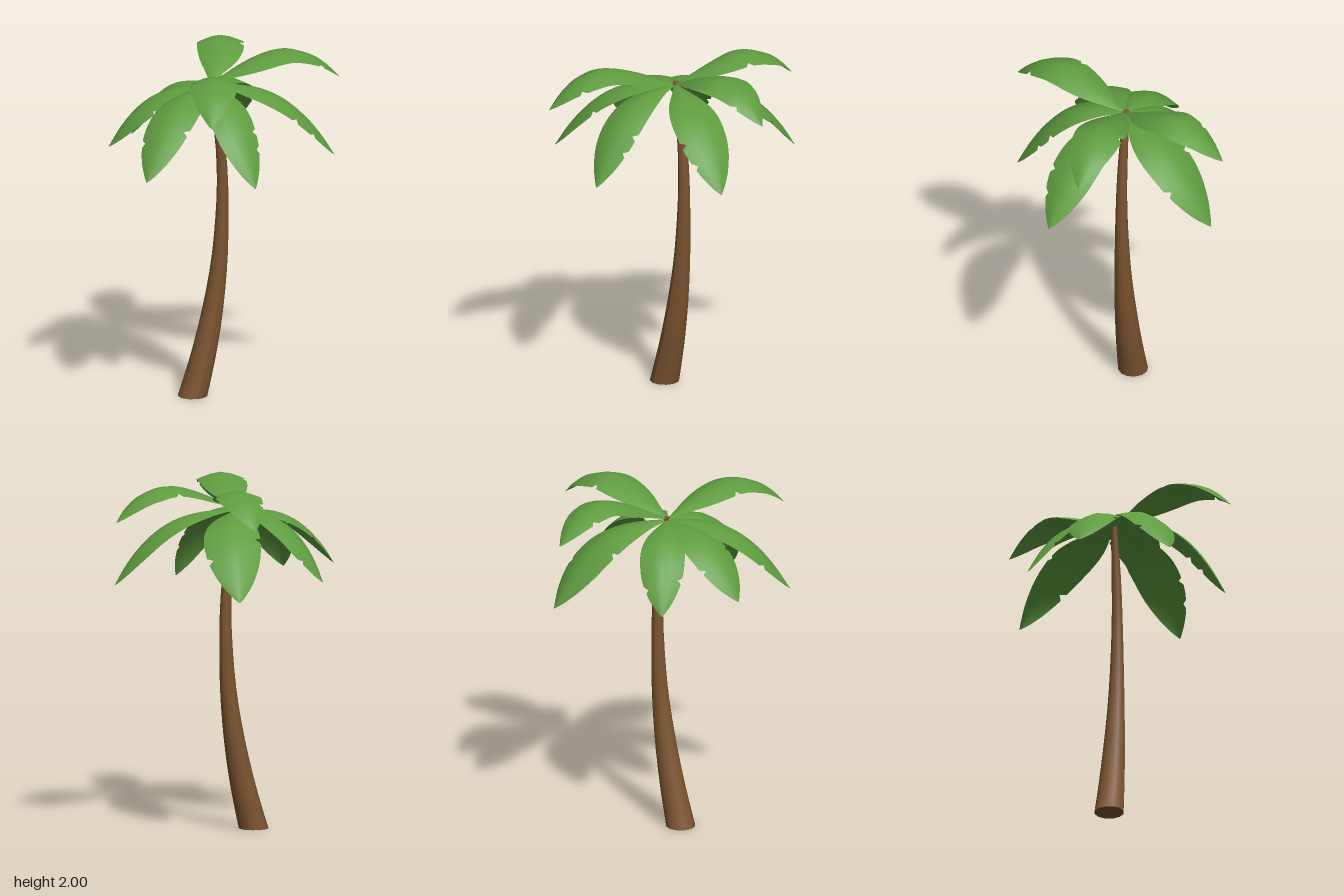
import * as THREE from 'three';

const bark = new THREE.MeshStandardMaterial({ color: 0x7c5430 });
bark.name = 'bark brown';
const green = new THREE.MeshStandardMaterial({ color: 0x5f9c40, side: THREE.DoubleSide });
green.name = 'leaf green';

const CROWN = new THREE.Vector3(-0.09, 0, -0.03);

// Smooth lookup through [position, value] pairs
function profile(pairs) {
  return (t) => {
    let i = 0;
    while (i < pairs.length - 2 && t > pairs[i + 1][0]) i++;
    const slope = (k) => {
      const a = pairs[Math.max(k - 1, 0)], b = pairs[Math.min(k + 1, pairs.length - 1)];
      return (b[1] - a[1]) / (b[0] - a[0]);
    };
    const [x0, y0] = pairs[i], [x1, y1] = pairs[i + 1];
    const h = x1 - x0, u = (t - x0) / h, u2 = u * u, u3 = u2 * u;
    return (2 * u3 - 3 * u2 + 1) * y0 + (u3 - 2 * u2 + u) * h * slope(i)
      + (3 * u2 - 2 * u3) * y1 + (u3 - u2) * h * slope(i + 1);
  };
}

const trunkX = profile([[0, -0.195], [0.2, -0.14], [0.4, -0.095], [0.6, -0.06], [0.8, -0.035],
  [1, -0.022], [1.2, -0.017], [1.4, -0.024], [1.6, -0.047], [1.85, -0.09]]);
const trunkRadius = profile([[0, 0.085], [0.4, 0.066], [0.8, 0.047], [1.2, 0.034], [1.6, 0.026], [1.85, 0.017]]);
const leafWidth = profile([[0, 0.01], [0.1, 0.05], [0.25, 0.11], [0.4, 0.14], [0.55, 0.143],
  [0.7, 0.127], [0.85, 0.083], [0.95, 0.035], [1, 0.002]]);
const archHeight = profile([[0, 1.845], [0.3, 1.95], [0.55, 1.999], [0.75, 1.965], [0.88, 1.902], [1, 1.81]]);

// Tapered trunk that leans and bends back under the crown
function makeTrunk() {
  const height = 1.85;
  const geo = new THREE.CylinderGeometry(1, 1, height, 12, 18).translate(0, height / 2, 0);
  const p = geo.attributes.position;
  for (let i = 0; i < p.count; i++) {
    const y = p.getY(i), r = trunkRadius(y);
    p.setXYZ(i, trunkX(y) + p.getX(i) * r, y, -0.037 + p.getZ(i) * r);
  }
  geo.computeVertexNormals();
  const mesh = new THREE.Mesh(geo, bark);
  mesh.name = 'trunk';
  return mesh;
}

// One curved leaf: sagging cross-sections swept along an arched midrib, with torn notches
function makeLeaf({ tip, bend, width, raised, notches }) {
  const end = new THREE.Vector3(...tip);
  const dir = new THREE.Vector3(end.x - CROWN.x, 0, end.z - CROWN.z);
  const reach = dir.length();
  dir.normalize();
  const points = [];
  for (let i = 0; i <= 10; i++) {
    const u = i / 10, d = 0.012 + (reach - 0.012) * u, off = bend * Math.sin(Math.PI * u);
    const y = raised ? archHeight(u) + (tip[1] - 1.81) * u : 1.835 - (1.835 - tip[1]) * Math.pow(u, 2.9);
    points.push(new THREE.Vector3(CROWN.x + dir.x * d - dir.z * off, y, CROWN.z + dir.z * d + dir.x * off));
  }
  const midrib = new THREE.CatmullRomCurve3(points);

  const rows = 36, columns = [-1, -0.8, -0.4, 0, 0.4, 0.8, 1], n = columns.length;
  const pos = [], index = [];
  for (let i = 0; i <= rows; i++) {
    const t = i / rows, w = leafWidth(t) * width;
    const c = midrib.getPointAt(t), T = midrib.getTangentAt(t);
    const S = new THREE.Vector3(-T.z, 0, T.x).normalize();
    const N = S.clone().cross(T);
    columns.forEach((s, j) => {
      const torn = Math.abs(s) === 1 && notches.includes(i * s);
      const k = torn ? s * 0.8 : s;
      const sag = 0.3 * w * Math.pow(Math.abs(k), 1.6);
      const v = c.clone().addScaledVector(S, k * w).addScaledVector(N, -sag);
      pos.push(v.x, v.y, v.z);
      if (i < rows && j < n - 1) {
        const a = i * n + j;
        index.push(a, a + 1, a + n, a + 1, a + n + 1, a + n);
      }
    });
  }
  const geo = new THREE.BufferGeometry();
  geo.setAttribute('position', new THREE.Float32BufferAttribute(pos, 3));
  geo.setIndex(index);
  geo.computeVertexNormals();
  return new THREE.Mesh(geo, green);
}

// Notches are row numbers; the sign picks the edge
const LEAVES = [
  // raised leaves
  { tip: [0.68, 1.81, -0.05], bend: 0, width: 1, raised: true, notches: [-19, 29] },
  { tip: [0.12, 1.81, -0.71], bend: 0.055, width: 0.93, raised: true, notches: [18, -26] },
  { tip: [-0.31, 1.79, 0.71], bend: -0.015, width: 0.95, raised: true, notches: [17, -27] },
  // drooping leaves
  { tip: [0.585, 1.415, 0.17], bend: 0.015, width: 1.02, raised: false, notches: [22, 28] },
  { tip: [0.2, 1.4, -0.67], bend: 0.035, width: 1.12, raised: false, notches: [24, -17] },
  { tip: [-0.43, 1.45, -0.455], bend: 0.01, width: 0.88, raised: false, notches: [-25, 28] },
  { tip: [-0.68, 1.5, -0.08], bend: 0, width: 0.97, raised: false, notches: [24, -19] },
  { tip: [-0.61, 1.42, 0.43], bend: 0.01, width: 0.97, raised: false, notches: [-21, 26] },
  { tip: [-0.015, 1.38, 0.6], bend: 0.03, width: 0.9, raised: false, notches: [-21, -26] },
];

export function createModel() {
  const model = new THREE.Group();
  model.name = 'palmTree';
  model.add(makeTrunk());
  const crown = new THREE.Group();
  crown.name = 'crown';
  LEAVES.forEach((spec, i) => {
    const leaf = makeLeaf(spec);
    leaf.name = (spec.raised ? 'raisedLeaf' : 'droopingLeaf') + (i + 1);
    crown.add(leaf);
  });
  model.add(crown);
  return model;
}
